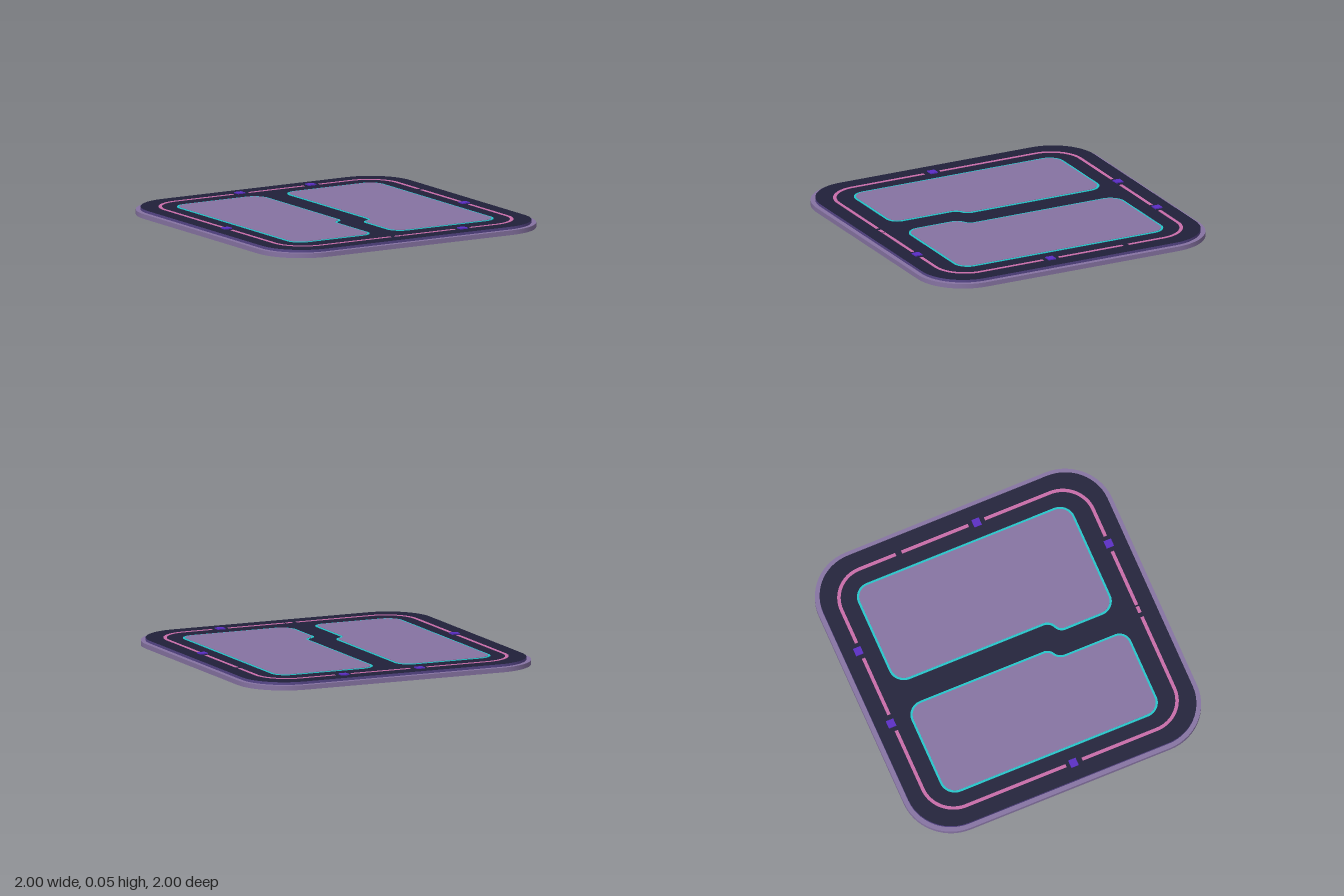
import * as THREE from 'three';
import { toCreasedNormals } from 'three/addons/utils/BufferGeometryUtils.js';

const mat = (name, color) => Object.assign(new THREE.MeshStandardMaterial({ color }), { name });

// Closed outline of [x, z, cornerCut] points with rounded corners
function roundedShape(pts) {
  const shape = new THREE.Shape();
  const n = pts.length;
  const towards = (a, b, d) => a.clone().add(b.clone().sub(a).setLength(d));
  pts.forEach(([x, z, r], i) => {
    const at = (k) => new THREE.Vector2(pts[(k + n) % n][0], pts[(k + n) % n][1]);
    const c = new THREE.Vector2(x, z);
    const a = towards(c, at(i - 1), r), b = towards(c, at(i + 1), r);
    const h1 = a.clone().lerp(c, 0.5523), h2 = b.clone().lerp(c, 0.5523);
    if (i === 0) shape.moveTo(a.x, a.y); else shape.lineTo(a.x, a.y);
    shape.bezierCurveTo(h1.x, h1.y, h2.x, h2.y, b.x, b.y);
  });
  shape.closePath();
  return shape;
}

const roundedSquare = (h, r) => roundedShape([[-h, -h, r], [h, -h, r], [h, h, r], [-h, h, r]]);

// Shrinks a clockwise-from-above outline by d
function inset(shape, d) {
  const p = shape.getPoints(10).filter((q, i, all) => q.distanceTo(all[(i + 1) % all.length]) > 1e-5);
  return new THREE.Shape(p.map((q, i) => {
    const t = p[(i + 1) % p.length].clone().sub(p[(i - 1 + p.length) % p.length]).normalize();
    return new THREE.Vector2(q.x - t.y * d, q.y + t.x * d);
  }));
}

// Flat slab whose shape lies in x and z
function slab(name, shape, bottom, top, material) {
  let geo = new THREE.ExtrudeGeometry(shape, { depth: top - bottom, bevelEnabled: false, curveSegments: 14 });
  geo.rotateX(Math.PI / 2).translate(0, top, 0);
  geo = toCreasedNormals(geo, 0.6);
  const mesh = new THREE.Mesh(geo, material);
  mesh.name = name;
  return mesh;
}

export function createModel() {
  const model = new THREE.Group();
  model.name = 'floorTile';
  const lilac = mat('lilac', 0x8673a2);
  const navy = mat('navy', 0x20203a);
  const rim = mat('rimViolet', 0x57478a);
  const cyan = mat('cyan', 0x22c6ca);
  const pink = mat('pink', 0xc86ca9);
  const violet = mat('violet', 0x5a2cc4);

  // Stepped base
  model.add(slab('basePlate', roundedSquare(1, 0.32), 0, 0.03, lilac));
  model.add(slab('framePlate', roundedSquare(0.97, 0.29), 0.03, 0.047, [navy, rim]));

  // Two interlocking panels, each with a glowing border
  const panels = {
    leftwardPanel: [[-0.758, -0.743, 0.1], [-0.102, -0.743, 0.1], [-0.102, 0.235, 0.035],
      [-0.172, 0.275, 0.035], [-0.172, 0.733, 0.08], [-0.758, 0.733, 0.1]],
    rightwardPanel: [[0.058, -0.743, 0.1], [0.754, -0.743, 0.1], [0.754, 0.733, 0.1],
      [-0.021, 0.733, 0.1], [-0.021, 0.345, 0.035], [0.058, 0.305, 0.035]],
  };
  for (const [name, pts] of Object.entries(panels)) {
    const outline = roundedShape(pts);
    model.add(slab(name + 'Border', outline, 0.045, 0.05, cyan));
    model.add(slab(name, inset(outline, 0.014), 0.045, 0.052, lilac));
  }

  // Pink trim ring: rounded corners plus dashes along each side
  const R = 0.858, C = 0.65, W = 0.022, trim = new THREE.Group();
  trim.name = 'trimRing';
  const block = (name, x, z, w, d, top, material) => {
    const m = new THREE.Mesh(new THREE.BoxGeometry(w, 0.008, d), material);
    m.position.set(x, top - 0.004, z);
    m.name = name;
    return m;
  };
  for (let i = 0; i < 4; i++) {
    const a = i * Math.PI / 2, r = R - C;
    const cx = i === 0 || i === 3 ? C : -C, cz = i < 2 ? C : -C;
    const s = new THREE.Shape();
    s.absarc(cx, cz, r + W / 2, a, a + Math.PI / 2, false);
    s.absarc(cx, cz, r - W / 2, a + Math.PI / 2, a, true);
    trim.add(slab('trimCorner', s, 0.043, 0.049, pink));
  }
  const sides = [
    { axis: 'x', at: -R, dashes: [[-C, -0.225], [-0.11, 0.3], [0.41, C]] },
    { axis: 'x', at: R, dashes: [[-C, -0.13], [-0.1, -0.055], [-0.045, 0.345], [0.455, C]] },
    { axis: 'z', at: -R, dashes: [[-C, 0.03], [0.14, C]] },
    { axis: 'z', at: R, dashes: [[-C, -0.4], [-0.36, 0.095], [0.205, C]] },
  ];
  for (const { axis, at, dashes } of sides) {
    for (const [from, to] of dashes) {
      const mid = (from + to) / 2, len = to - from;
      trim.add(axis === 'x' ? block('trimDash', mid, at, len, W, 0.049, pink)
        : block('trimDash', at, mid, W, len, 0.049, pink));
    }
  }
  model.add(trim);

  // Small square studs in the trim gaps
  for (const [x, z] of [[-0.17, -0.87], [0.355, -0.87], [-0.86, 0.08], [0.855, 0.15], [0.4, 0.858]]) {
    model.add(block('stud', x, z, 0.052, 0.05, 0.054, violet));
  }
  return model;
}
